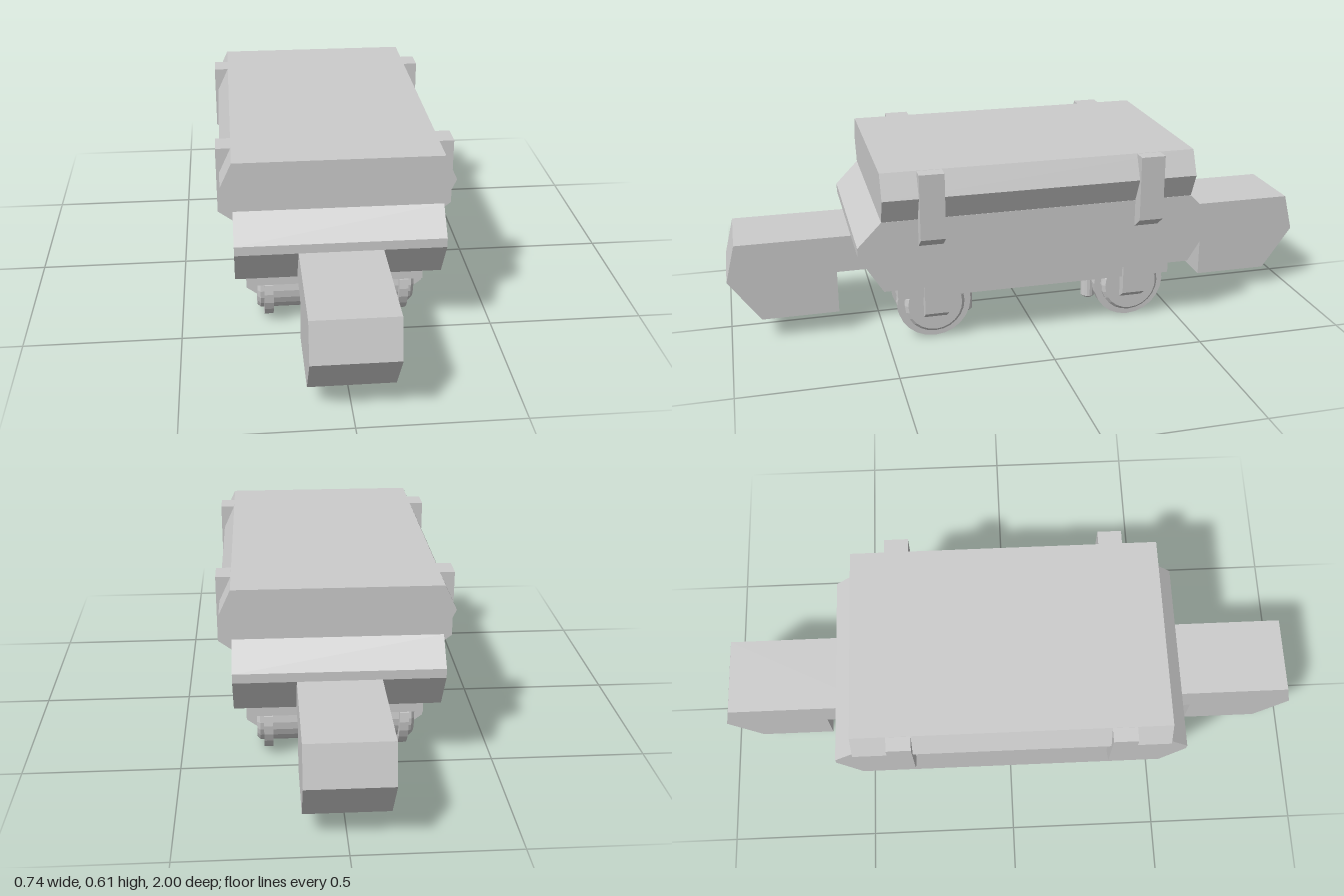
import * as THREE from 'three';

const material = new THREE.MeshStandardMaterial({ color: 0xcccccc, flatShading: true });

// Extrudes an outline, centred on the extrusion axis
function extrude(points, depth) {
  const shape = new THREE.Shape(points.map(([a, b]) => new THREE.Vector2(a, b)));
  const g = new THREE.ExtrudeGeometry(shape, { depth, bevelEnabled: false });
  return g.translate(0, 0, -depth / 2);
}

// Outline given as (z, y), extruded across x
const extrudeAcross = (points, width) => extrude(points, width).rotateY(-Math.PI / 2);

export function createModel() {
  const model = new THREE.Group();
  const add = (name, geometry, x = 0, y = 0, z = 0) => {
    const mesh = new THREE.Mesh(geometry, material);
    mesh.name = name;
    mesh.position.set(x, y, z);
    model.add(mesh);
    return mesh;
  };

  // Hull with sloping ends
  add('hull', extrudeAcross([
    [-0.515, 0.22], [0.515, 0.22], [0.593, 0.345], [0.593, 0.375],
    [0.515, 0.455], [-0.515, 0.455], [-0.593, 0.375], [-0.593, 0.345],
  ], 0.648));

  // Upper deck with pointed sides
  add('deck', extrude([
    [-0.323, 0.455], [0.323, 0.455], [0.36, 0.535],
    [0.323, 0.615], [-0.323, 0.615], [-0.36, 0.535],
  ], 1.03));

  // Plate carrying the wheels
  add('underPlate', new THREE.BoxGeometry(0.552, 0.06, 0.93), 0, 0.194, 0);

  // Hooked coupling arm at each end
  const arm = extrudeAcross([
    [0.45, 0.221], [0.645, 0.221], [0.645, 0.077], [0.898, 0.077],
    [1, 0.22], [0.968, 0.345], [0.45, 0.345],
  ], 0.26);
  for (const end of [1, -1]) {
    add(end > 0 ? 'frontCoupling' : 'backCoupling', arm).rotation.y = end > 0 ? 0 : Math.PI;
  }

  // Deck clamp and wheel bracket outlines, facing +x
  const clamp = extrude([[0.31, 0.365], [0.323, 0.365], [0.37, 0.4], [0.37, 0.614], [0.31, 0.614]], 0.08);
  const bracket = extrude([[0.245, 0.075], [0.288, 0.107], [0.288, 0.22], [0.245, 0.22]], 0.078);

  // Flanged roller, turned about x
  const roller = new THREE.LatheGeometry([
    [0, -0.102], [0.09, -0.102], [0.1, -0.092], [0.1, -0.08], [0.123, -0.08],
    [0.123, -0.051], [0.1, -0.051], [0.1, 0.051], [0.123, 0.051], [0.123, 0.08],
    [0.1, 0.08], [0.1, 0.092], [0.09, 0.102], [0, 0.102],
  ].map(([r, h]) => new THREE.Vector2(r, h)), 24).rotateZ(Math.PI / 2);

  // Upright brake pin with a bevelled foot
  const pin = new THREE.LatheGeometry([
    [0, 0.05], [0.019, 0.05], [0.025, 0.056], [0.025, 0.17], [0, 0.17],
  ].map(([r, h]) => new THREE.Vector2(r, h)), 16);

  // Running gear and clamps at the four corners
  for (const side of [1, -1]) {
    for (const end of [1, -1]) {
      const turn = side > 0 ? 0 : Math.PI;
      add('deckClamp', clamp, 0, 0, 0.36 * end).rotation.y = turn;
      add('wheelBracket', bracket, 0, 0, 0.34 * end).rotation.y = turn;
      add('wheel', roller, 0.152 * side, 0.125, 0.34 * end);
      add('brakePin', pin, 0.152 * side, 0, 0.22 * end);
    }
  }
  return model;
}
